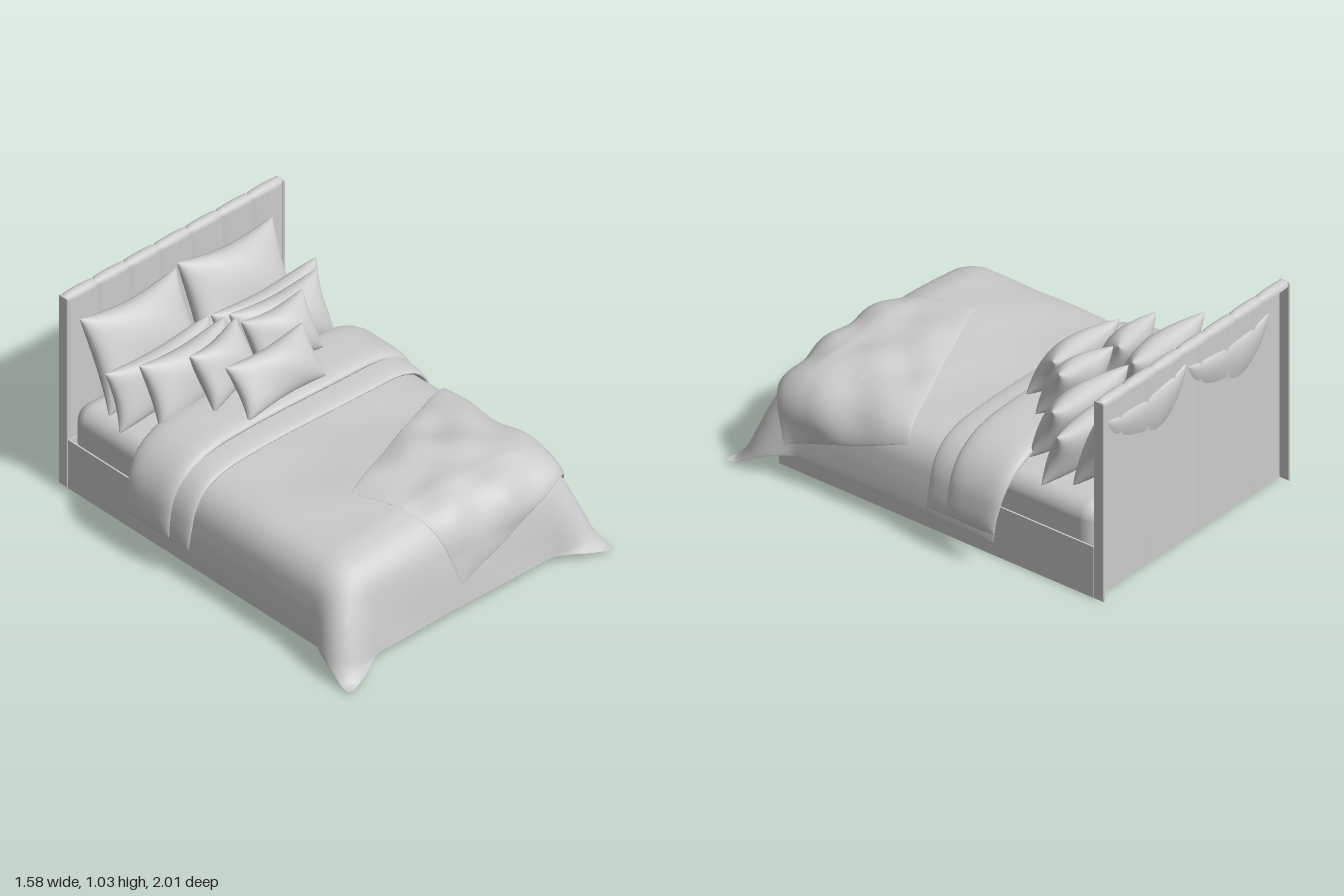
import * as THREE from 'three';
import { mergeGeometries } from 'three/addons/utils/BufferGeometryUtils.js';
import { RoundedBoxGeometry } from 'three/addons/geometries/RoundedBoxGeometry.js';
import { ParametricGeometry } from 'three/addons/geometries/ParametricGeometry.js';

const material = new THREE.MeshStandardMaterial({ color: 0xcccccc, side: THREE.DoubleSide });
const { clamp, lerp, smoothstep } = THREE.MathUtils;

function add(parent, name, geometry, x = 0, y = 0, z = 0) {
  const mesh = new THREE.Mesh(geometry, material);
  mesh.name = name;
  mesh.position.set(x, y, z);
  parent.add(mesh);
  return mesh;
}

// Closed soft sheet: two surfaces over u, v in [-1, 1] that meet at the rim
function pad(point, nu, nv) {
  const halves = [1, -1].map((side) => {
    const g = new ParametricGeometry((u, v, p) => {
      point(side * Math.sin((u - 0.5) * Math.PI), Math.sin((v - 0.5) * Math.PI), side, p);
    }, nu, nv);
    g.computeVertexNormals();
    return g;
  });
  return mergeGeometries(halves);
}

// How cloth falls over the bed edge: x = outward, y = drop
const fallCurve = (points) => {
  const curve = new THREE.SplineCurve(points.map(([x, y]) => new THREE.Vector2(x, y)));
  return { curve, length: curve.getLength() };
};
const edgeFall = fallCurve([
  [0, 0], [0.1, 0.03], [0.158, 0.095], [0.182, 0.185], [0.198, 0.28], [0.212, 0.37], [0.23, 0.43], [0.28, 0.45],
]);
const cornerFall = fallCurve([
  [0, 0], [0.1, 0.03], [0.18, 0.1], [0.245, 0.2], [0.295, 0.3], [0.34, 0.39], [0.39, 0.445], [0.44, 0.455],
]);
const TOP = 0.455, HALF = 0.5, FOOT = 0.67;

// Lays the flat cloth point (s across, t along) on the bed, raised by lift
function drape(s, t, lift, p) {
  const a = Math.max(0, Math.abs(s) - HALF), b = Math.max(0, t - FOOT);
  const r = Math.hypot(a, b), angle = Math.atan2(b, a);
  const corner = Math.sin(2 * angle) ** 2;
  const [edge, diagonal] = [edgeFall, cornerFall].map(({ curve, length }) => {
    const k = clamp(r / length, 0, 1);
    return { at: curve.getPointAt(k), dir: curve.getTangentAt(k) };
  });
  const q = edge.at.lerp(diagonal.at, corner);
  const n = edge.dir.lerp(diagonal.dir, corner).normalize();
  const out = q.x + n.y * lift;
  const across = clamp(s, -HALF, HALF), along = Math.min(t, FOOT);
  const crown = (1 - (across / HALF) ** 2) * (0.01 + 0.025 * smoothstep(along, 0.05, 0.45));
  p.set(
    across + Math.sign(s) * Math.cos(angle) * out * (a > 0 ? 1 : 0),
    TOP + crown * (1 - clamp(r / edgeFall.length, 0, 1)) - q.y + n.x * lift,
    along + Math.sin(angle) * out,
  );
}

const rim = (u, v, power = 8) => Math.sqrt(Math.max(0, (1 - u ** 8) * (1 - v ** power)));

function pillowGeometry(w, h, depth) {
  return pad((u, v, side, p) => {
    const bulge = Math.max(0, (1 - u * u) * (1 - v * v)) ** 0.43;
    p.set(
      (w / 2) * u * (1 - 0.08 * (1 - v * v)),
      (h / 2) * v * (1 - 0.11 * (1 - u * u)),
      (side * depth / 2) * bulge + 0.008 * Math.sin(3 * u + 2 * v),
    );
  }, 26, 22);
}

function buildHeadboard(bed) {
  const group = new THREE.Group();
  group.name = 'headboard';
  const channels = 7;
  // Channelled shell, rolled over at the top and open at the back
  const shell = new ParametricGeometry((u, v, p) => {
    const puff = Math.abs(Math.sin(u * channels * Math.PI)) ** 0.28;
    const r = 0.03 * (0.7 + 0.3 * puff);
    const roll = Math.max(0, v - 0.4) / 0.6 * Math.PI;
    const y = v < 0.4 ? (v / 0.4) * 0.998 : 0.998 + r * Math.sin(roll);
    p.set((u - 0.5) * 1.284, y, -0.97 + r * Math.cos(roll));
  }, channels * 16, 20);
  shell.computeVertexNormals();
  add(group, 'channelledPanel', shell);
  for (const side of [-1, 1]) {
    add(group, 'headboardSide', new RoundedBoxGeometry(0.012, 1.015, 0.056, 3, 0.005), side * 0.641, 0.5075, -0.97);
  }
  bed.add(group);
}

function buildBase(bed) {
  // Hollow frame, open underneath
  const x = 0.645, back = 0.94, front = 0.82, wall = 0.008;
  const rect = (C, i) => new C([
    new THREE.Vector2(-x + i, -front + i), new THREE.Vector2(x - i, -front + i),
    new THREE.Vector2(x - i, back - i), new THREE.Vector2(-x + i, back - i),
  ]);
  const frame = rect(THREE.Shape, 0);
  frame.holes.push(rect(THREE.Path, wall));
  const geometry = new THREE.ExtrudeGeometry(frame, { depth: 0.26, bevelEnabled: false });
  add(bed, 'bedBase', geometry.rotateX(-Math.PI / 2));

  // Mattress: rounded on top, cut flat where it meets the base
  const mattress = new RoundedBoxGeometry(1.27, 0.4, 1.71, 6, 0.085);
  mattress.translate(0, 0.247, -0.085);
  const position = mattress.attributes.position;
  for (let i = 0; i < position.count; i++) position.setY(i, Math.max(position.getY(i), 0.25));
  add(bed, 'mattress', mattress);
}

function buildBedding(bed) {
  add(bed, 'duvet', pad((u, v, side, p) => {
    const ripple = 0.004 * Math.sin(9 * u + 4 * v) * Math.sin(7 * v);
    drape(u * 0.94, 0.38 - 0.82 * v, 0.011 + ripple + side * 0.011 * rim(u, v), p);
  }, 80, 80));

  // Turned-down top of the duvet, in two overlapping layers
  const layers = [
    { name: 'turndownLower', from: -0.45, to: -0.075, lift: 0.043, sink: 0.012, thick: 0.045, reach: 0.89 },
    { name: 'turndownUpper', from: -0.5, to: -0.19, lift: 0.075, sink: 0.032, thick: 0.06, reach: 0.88 },
  ];
  for (const { name, from, to, lift, sink, thick, reach } of layers) {
    add(bed, name, pad((u, v, side, p) => {
      const s = u * reach;
      const down = smoothstep(Math.abs(s), 0.4, 0.68);
      const hang = smoothstep(Math.abs(s), 0.55, 0.88);
      const t = lerp(to, from, (v + 1) / 2) + 0.02 * hang * (1 + v) + 0.006 * Math.sin(5 * u);
      drape(s, t, lift - sink * down + 0.008 * hang + side * (thick / 2) * rim(u, v, 4), p);
    }, 64, 28));
  }

  // Throw laid askew over the foot corner: flat corners as [across, along]
  const [fl, fr, br, bl] = [[-0.02, 1.09], [0.885, 0.74], [0.665, 0.07], [-0.25, 0.44]];
  add(bed, 'throwBlanket', pad((u, v, side, p) => {
    const i = (u + 1) / 2, j = (v + 1) / 2;
    const [s, t] = [0, 1].map((c) => lerp(lerp(fl[c], fr[c], i), lerp(bl[c], br[c], i), j));
    const inner = (1 - u ** 4) * (1 - v ** 4);
    const wrinkle = 0.006 * Math.sin(4 * u + 5 * v + Math.sin(3 * u)) + 0.004 * Math.sin(9 * v - 4 * u)
      + 0.003 * Math.sin(13 * u + 3 * v);
    const edge = 0.005 * Math.sin(8 * u - 5 * v);
    drape(s, t, 0.036 + 0.014 * inner + wrinkle * (0.3 + 0.7 * inner) + edge + side * 0.008 * rim(u, v), p);
  }, 64, 64));
}

function buildPillows(bed) {
  // name, width, height, depth, [x, y, z], lean, turn, roll
  const pillows = [
    ['backPillow', 0.57, 0.46, 0.19, [-0.293, 0.665, -0.842], -0.4, 0, -0.01],
    ['backPillow', 0.56, 0.46, 0.19, [0.272, 0.67, -0.842], -0.4, 0, -0.05],
    ['sleepingPillow', 0.62, 0.29, 0.16, [-0.315, 0.59, -0.68], -0.25, 0, 0.02],
    ['sleepingPillow', 0.63, 0.29, 0.16, [0.315, 0.59, -0.68], -0.25, 0, 0],
    ['middlePillow', 0.52, 0.31, 0.17, [-0.262, 0.63, -0.56], -0.38, 0.03, 0],
    ['middlePillow', 0.51, 0.31, 0.17, [0.275, 0.63, -0.56], -0.38, -0.03, 0],
    ['smallPillow', 0.34, 0.28, 0.15, [-0.165, 0.685, -0.455], -0.42, 0.18, 0.03],
    ['smallPillow', 0.35, 0.28, 0.15, [0.165, 0.69, -0.445], -0.42, -0.08, 0.05],
    ['frontPillow', 0.47, 0.26, 0.15, [-0.014, 0.662, -0.292], -0.52, 0, 0.03],
  ];
  for (const [name, w, h, d, at, lean, turn, roll] of pillows) {
    add(bed, name, pillowGeometry(w, h, d), ...at).rotation.set(lean, turn, roll, 'YXZ');
  }
}

export function createModel() {
  const model = new THREE.Group();
  model.name = 'bed';
  const bed = new THREE.Group();
  bed.name = 'bedParts';
  bed.position.x = 0.01;
  model.add(bed);
  buildHeadboard(bed);
  buildBase(bed);
  buildBedding(bed);
  buildPillows(bed);
  return model;
}
